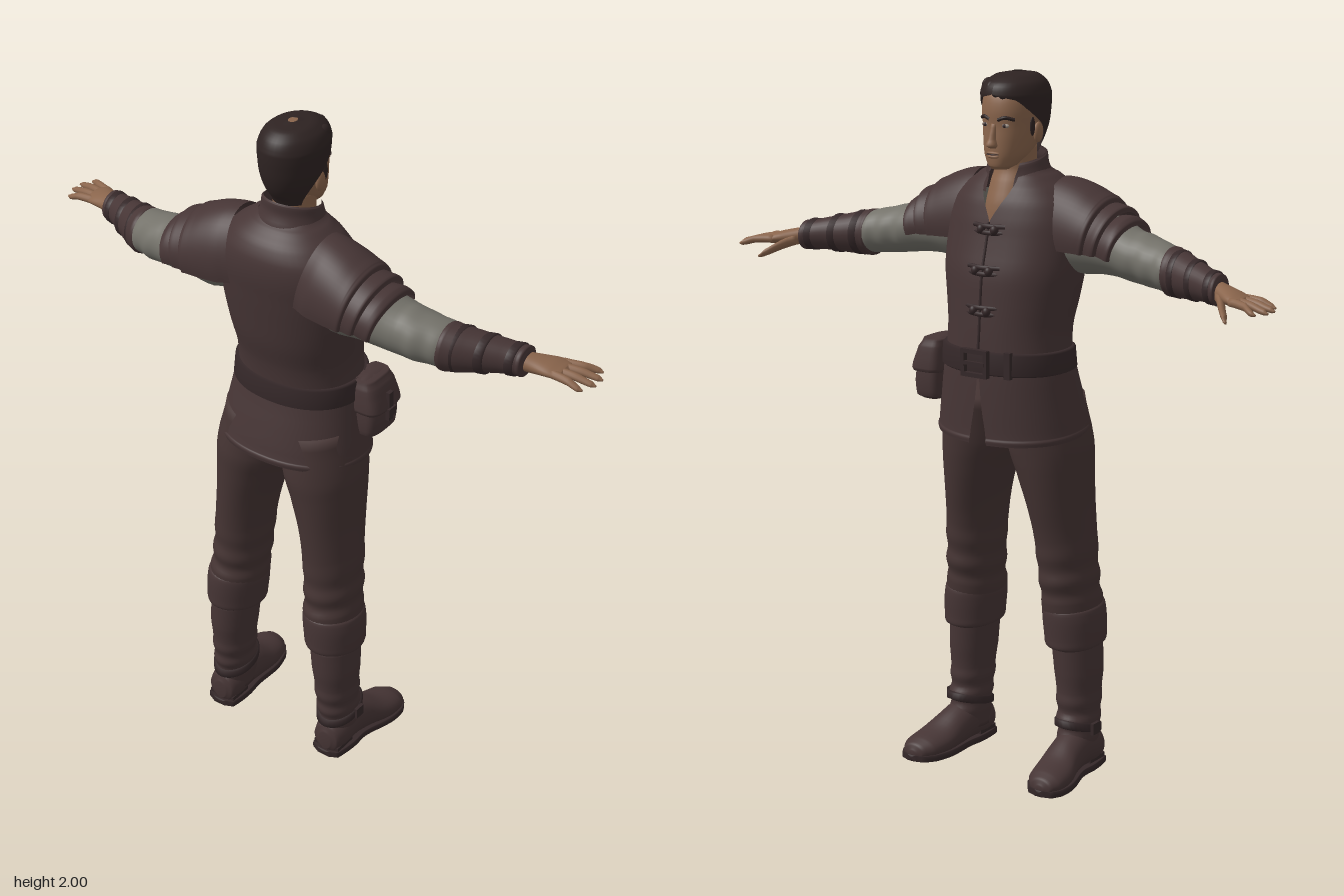
import * as THREE from 'three';

const mat = (name, color, side = THREE.FrontSide) => {
  const m = new THREE.MeshStandardMaterial({ color, side });
  m.name = name;
  return m;
};

// Loft through elliptical rings [t, a, b, ra, rb, gap] along axis x, y or z.
// y: a=x, b=z   z: a=x, b=y   x: a=z, b=y.  Rings ascend in t.
function loft(axis, rings, { n = 32, sub = 4, open = false, start = 0, shear = [0, 0], min = -9, max = 9, pow = 1 } = {}) {
  const pos = [], idx = [], cols = open ? n + 1 : n;
  const at = (i) => rings[Math.max(0, Math.min(rings.length - 1, i))];
  const rows = [];
  for (let i = 0; i < rings.length - 1; i++) {
    for (let s = 0; s < sub; s++) {
      const u = s / sub, p = [at(i - 1), at(i), at(i + 1), at(i + 2)];
      rows.push([0, 1, 2, 3, 4, 5].map((k) => {
        const [a, b, c, d] = p.map((r) => r[k] || 0);
        if (k === 0) return b + (c - b) * u;
        const v = b + 0.5 * u * (c - a + u * (2 * a - 5 * b + 4 * c - d + u * (3 * (b - c) + d - a)));
        return k > 2 ? Math.max(0, v) : v;
      }));
    }
  }
  rows.push(at(rings.length - 1));
  const put = (t, a, b) => {
    const p = axis === 'y' ? [a, t, b] : axis === 'z' ? [a, b, t] : [t, b, a];
    p[1] = Math.min(max, Math.max(min, p[1]));
    pos.push(...p);
  };
  const soft = (v) => Math.sign(v) * Math.abs(v) ** pow;
  for (const [t, a, b, ra, rb, gap = 0] of rows) {
    for (let j = 0; j < cols; j++) {
      const th = start + gap + (2 * Math.PI - 2 * gap) * (j / n);
      const c = soft(Math.cos(th)) * ra, s = soft(Math.sin(th)) * rb * (axis === 'z' ? -1 : 1);
      put(t + shear[0] * c + shear[1] * s, a + c, b + s);
    }
  }
  for (let i = 0; i < rows.length - 1; i++) {
    for (let j = 0; j < n; j++) {
      const k = (j + 1) % cols, a = i * cols + j, b = i * cols + k;
      idx.push(a, a + cols, b, b, a + cols, b + cols);
    }
  }
  if (!open) {
    const last = (rows.length - 1) * cols, base = pos.length / 3;
    for (const r of [rows[0], rows[rows.length - 1]]) put(r[0], r[1], r[2]);
    for (let j = 0; j < n; j++) {
      const k = (j + 1) % n;
      idx.push(base, j, k, base + 1, last + k, last + j);
    }
  }
  const g = new THREE.BufferGeometry();
  g.setAttribute('position', new THREE.Float32BufferAttribute(pos, 3));
  g.setIndex(idx);
  g.computeVertexNormals();
  return g;
}

const box = (w, h, d, x, y, z) => new THREE.BoxGeometry(w, h, d).translate(x, y, z);
const ball = (rx, ry, rz, x, y, z) => new THREE.SphereGeometry(1, 20, 14).scale(rx, ry, rz).translate(x, y, z);
const tube = (pts, r) => new THREE.TubeGeometry(new THREE.CatmullRomCurve3(pts.map((p) => new THREE.Vector3(...p))), 16, r, 8);

// Copy to the other side of the body with corrected winding
function mirrored(g) {
  const m = g.clone().scale(1, 1, -1), ix = m.index.array;
  for (let i = 0; i < ix.length; i += 3) [ix[i], ix[i + 1]] = [ix[i + 1], ix[i]];
  m.computeVertexNormals();
  return m;
}

export function createModel() {
  const leather = mat('brown leather', 0x463535, THREE.DoubleSide);
  const cloth = mat('brown trousers', 0x453433);
  const dark = mat('dark straps', 0x352829);
  const skin = mat('skin', 0x8a654c);
  const linen = mat('grey linen', 0x74726a);
  const hair = mat('dark hair', 0x2e2322, THREE.DoubleSide);
  const white = mat('eye white', 0x9a8d82);
  const root = new THREE.Group();
  const add = (name, g, m) => {
    const mesh = new THREE.Mesh(g, m);
    mesh.name = name;
    root.add(mesh);
  };
  const pair = (name, g, m) => { add(name + 'Left', g, m); add(name + 'Right', mirrored(g), m); };

  // Tunic with open neck, and skirt split at the front
  add('tunic', loft('y', [[1.2, .015, 0, .145, .185], [1.3, .008, 0, .148, .18], [1.38, -.005, 0, .155, .192],
    [1.46, -.015, 0, .157, .205], [1.54, -.03, 0, .152, .21], [1.6, -.04, 0, .148, .208], [1.65, -.045, 0, .138, .19, .12],
    [1.69, -.045, 0, .118, .155, .28], [1.72, -.04, 0, .09, .115, .42], [1.735, -.035, 0, .075, .09, .5]],
  { n: 48, open: true, pow: .92 }), leather);
  add('skirt', loft('y', [[1.0, -.01, 0, .177, .222, .11], [1.012, -.01, 0, .179, .224, .1], [1.02, -.009, 0, .175, .22, .1],
    [1.1, 0, 0, .165, .208, .05], [1.18, .01, 0, .153, .195, .015], [1.25, .015, 0, .145, .182, 0]],
  { n: 48, open: true, shear: [-.08, 0], pow: .92 }), leather);
  add('collar', loft('y', [[1.695, -.025, 0, .098, .105, .42], [1.735, -.025, 0, .084, .09, .5], [1.765, -.028, 0, .08, .083, .62],
    [1.77, -.028, 0, .074, .078, .66]], { open: true, shear: [-.25, 0] }), leather);

  // Front seam and toggles
  add('frontSeam', tube([[.167, 1.22, 0], [.158, 1.3, 0], [.152, 1.38, 0], [.144, 1.46, 0], [.124, 1.54, 0], [.11, 1.6, 0]], .004), dark);
  [[1.36, .152], [1.47, .142], [1.58, .115]].forEach(([y, x]) => {
    for (const dy of [-.009, .009]) add('toggleStrap', tube([[x - .012, y + dy, -.052], [x + .002, y + dy, 0], [x - .012, y + dy, .052]], .007), dark);
    for (const s of [-1, 1]) add('toggleKnob', ball(.013, .014, .012, x, y, s * .022), dark);
  });

  // Belt, buckle and trailing strap
  add('belt', loft('y', [[1.185, .013, 0, .152, .191], [1.19, .013, 0, .158, .197], [1.245, .015, 0, .155, .193], [1.25, .015, 0, .149, .187]],
    { n: 48, sub: 1, pow: .92 }), dark);
  for (const s of [-1, 1]) {
    add('buckleBar', box(.016, .012, .085, .177, 1.218 + s * .033, 0), dark);
    add('buckleSide', box(.016, .075, .012, .177, 1.218, s * .038), dark);
  }
  add('bucklePin', box(.01, .01, .07, .182, 1.218, 0), dark);
  add('beltLoop', box(.014, .075, .02, .155, 1.218, -.095), dark);

  // Hip pouch with flap and straps
  add('pouch', loft('y', [[1.075, .062, .21, .05, .03], [1.085, .062, .212, .065, .042], [1.14, .062, .212, .068, .045],
    [1.22, .062, .203, .06, .036], [1.25, .062, .195, .05, .022]], { pow: .55 }), leather);
  add('pouchFlap', loft('y', [[1.155, .062, .214, .071, .05], [1.165, .062, .214, .074, .053], [1.225, .062, .205, .066, .042],
    [1.25, .062, .2, .056, .032]], { pow: .55 }), leather);
  add('pouchStrap', box(.02, .09, .012, .062, 1.165, .263), dark);
  add('pouchBuckle', box(.034, .025, .01, .062, 1.15, .27), dark);

  // Neck and chest, head
  add('neck', loft('y', [[1.56, -.02, 0, .1, .08], [1.64, -.025, 0, .1, .08], [1.7, -.02, 0, .075, .068], [1.74, -.02, 0, .06, .058], [1.81, -.015, 0, .062, .058]]), skin);
  add('head', loft('y', [[1.74, .055, 0, .025, .024], [1.75, .042, 0, .046, .038], [1.78, .018, 0, .073, .058], [1.82, 0, 0, .09, .069],
    [1.86, -.01, 0, .097, .076], [1.9, -.012, 0, .1, .08], [1.94, -.016, 0, .094, .077], [1.97, -.02, 0, .068, .06]], { pow: .93 }), skin);
  add('nose', loft('y', [[1.8, .092, 0, .008, .011], [1.807, .096, 0, .017, .016], [1.825, .093, 0, .012, .01], [1.865, .086, 0, .007, .008]], { n: 14 }), skin);
  add('upperLip', ball(.006, .004, .022, .09, 1.786, 0), skin);
  add('mouthLine', ball(.004, .002, .022, .0935, 1.782, 0), dark);
  add('lowerLip', ball(.007, .005, .018, .09, 1.776, 0), skin);
  pair('ear', ball(.018, .028, .01, -.012, 1.838, .078).rotateZ(0), skin);
  pair('eyeWhite', ball(.006, .006, .013, .078, 1.861, .032), white);
  pair('iris', ball(.004, .0055, .0055, .082, 1.861, .032), dark);
  pair('eyebrow', tube([[.086, 1.876, .013], [.082, 1.883, .033], [.064, 1.877, .054]], .005), hair);

  // Hair shell swept around the face, with tufts above the brow
  add('hair', loft('y', [[1.775, -.012, 0, .072, .06, 2.2], [1.82, -.012, 0, .1, .074, 1.95], [1.86, -.018, 0, .108, .084, 1.6],
    [1.9, -.02, 0, .111, .088, 1.1], [1.93, -.02, 0, .112, .09, .7], [1.945, -.018, 0, .112, .089, 0], [1.972, -.017, 0, .1, .077, 0],
    [1.991, -.022, 0, .068, .052, 0], [1.999, -.026, 0, .015, .012, 0]], { n: 40, open: true }), hair);
  for (let i = -3; i <= 3; i++) add('hairTuft', ball(.026, .022, .017, .064 - i * i * .0045, 1.953 + (i % 2) * .006, i * .02), hair);
  pair('sideburn', ball(.01, .026, .005, .012, 1.856, .076), hair);

  // Sleeves, bracers and their straps
  pair('sleeve', loft('z', [[.13, -.055, 1.57, .1, .09], [.2, -.062, 1.555, .1, .1], [.27, -.062, 1.545, .09, .085], [.33, -.06, 1.535, .083, .077],
    [.38, -.052, 1.522, .08, .07], [.41, -.05, 1.518, .075, .07], [.44, -.045, 1.512, .077, .067], [.47, -.038, 1.508, .069, .065],
    [.5, -.03, 1.503, .069, .062], [.53, -.025, 1.5, .055, .055]]), linen);
  pair('bracer', loft('z', [[.495, -.031, 1.5, .058, .058], [.503, -.029, 1.499, .068, .067], [.52, -.026, 1.498, .067, .066], [.57, -.005, 1.494, .06, .058],
    [.63, .022, 1.49, .05, .048], [.68, .042, 1.485, .045, .042], [.695, .047, 1.483, .045, .043], [.7, .049, 1.482, .034, .032]]), leather);
  [[.535, -.019, 1.497, .067, .065], [.6, .008, 1.492, .058, .056], [.67, .038, 1.486, .049, .046]].forEach(([z, x, y, rx, ry]) =>
    pair('bracerStrap', loft('z', [[z - .012, x - .004, y, rx - .006, ry - .006], [z - .009, x - .003, y, rx, ry], [z + .009, x + .003, y, rx, ry],
      [z + .012, x + .004, y, rx - .008, ry - .008]], { sub: 1 }), dark));

  // Hands: palm, four fingers and thumb
  pair('palm', loft('z', [[.68, .045, 1.483, .028, .026], [.72, .062, 1.478, .036, .024], [.76, .078, 1.474, .046, .019], [.79, .085, 1.469, .043, .014], [.797, .087, 1.468, .03, .008]]), skin);
  [[.05, .047, .862], [.072, .085, .88], [.096, .12, .88], [.116, .153, .862]].forEach(([x0, x1, z1]) =>
    pair('finger', loft('z', [[.765, x0, 1.472, .012, .012], [.82, (x0 + x1) / 2, 1.469, .0115, .011], [z1 - .012, x1, 1.459, .009, .008], [z1, x1 + .002, 1.456, .003, .003]], { n: 12 }), skin));
  pair('thumb', loft('z', [[.705, .075, 1.473, .018, .016], [.74, .115, 1.457, .018, .014], [.77, .15, 1.437, .013, .01], [.782, .164, 1.428, .005, .004]], { n: 12 }), skin);

  // Layered shoulder guards, open underneath
  const guard = (rings, shear) => pair('shoulderGuard', loft('z', rings, { open: true, start: Math.PI / 2, shear: [0, shear] }), leather);
  guard([[.295, -.068, 1.545, .105, .08, 1.35], [.325, -.064, 1.54, .108, .085, 1.35], [.342, -.062, 1.535, .109, .08, 1.35], [.347, -.062, 1.532, .1, .07, 1.35]], .25);
  guard([[.23, -.07, 1.55, .11, .11, 1.35], [.275, -.067, 1.55, .114, .104, 1.35], [.3, -.065, 1.548, .117, .1, 1.35], [.306, -.065, 1.546, .106, .088, 1.35]], .25);
  guard([[.11, -.06, 1.57, .112, .148, 1.35], [.15, -.064, 1.565, .119, .148, 1.35], [.2, -.066, 1.56, .122, .138, 1.35], [.25, -.067, 1.555, .123, .122, 1.35],
    [.262, -.067, 1.552, .122, .116, 1.35], [.267, -.067, 1.55, .112, .104, 1.35]], .2);

  // Trousers with folds near the knee, and rolled cuffs
  pair('trouserLeg', loft('y', [[.44, -.062, .172, .092, .08], [.51, -.06, .167, .1, .082], [.54, -.055, .165, .094, .077], [.575, -.052, .163, .103, .081],
    [.61, -.05, .16, .098, .077], [.65, -.047, .158, .104, .081], [.7, -.045, .154, .106, .08], [.8, -.037, .143, .119, .085],
    [.9, -.031, .128, .131, .1], [.97, -.028, .114, .137, .112], [1.1, -.015, .1, .135, .1]], { shear: [0, .1] }), cloth);
  pair('cuff', loft('y', [[.375, -.064, .18, .08, .066], [.385, -.064, .178, .098, .082], [.41, -.064, .177, .1, .085], [.46, -.063, .174, .102, .087],
    [.493, -.062, .171, .1, .084], [.505, -.061, .17, .09, .075]], { shear: [-.06, 0] }), leather);

  // Boots with wrinkled shafts, soles and ankle straps
  pair('bootShaft', loft('y', [[.05, -.062, .192, .068, .052], [.1, -.058, .192, .074, .055], [.13, -.062, .192, .068, .054], [.155, -.062, .191, .076, .06],
    [.18, -.066, .19, .069, .057], [.21, -.067, .189, .076, .062], [.24, -.068, .188, .074, .061], [.3, -.069, .186, .08, .067], [.4, -.067, .18, .083, .07]]), leather);
  pair('shoe', loft('x', [[-.14, .195, .05, .02, .03], [-.13, .195, .055, .042, .05], [-.09, .195, .062, .053, .06], [-.03, .197, .068, .054, .062], [.03, .202, .054, .055, .056],
    [.09, .212, .036, .062, .042], [.15, .22, .028, .056, .034], [.18, .224, .024, .036, .024], [.188, .225, .02, .012, .01]], { min: .012 }), leather);
  pair('sole', loft('x', [[-.145, .195, .01, .02, .2], [-.132, .195, .01, .046, .2], [-.06, .197, .01, .055, .2], [0, .2, .01, .052, .2], [.09, .212, .01, .067, .2],
    [.15, .22, .01, .061, .2], [.182, .224, .01, .04, .2], [.192, .225, .01, .012, .2]], { min: 0, max: .018 }), dark);
  pair('heel', box(.075, .03, .085, -.092, .016, .195), dark);
  pair('ankleStrap', loft('y', [[.118, -.058, .192, .068, .054], [.122, -.058, .192, .079, .063], [.142, -.058, .192, .079, .063], [.146, -.058, .192, .068, .054]],
    { sub: 1, shear: [.25, 0] }), dark);
  pair('ankleBuckle', box(.034, .034, .01, -.05, .134, .256), dark);
  return root;
}
